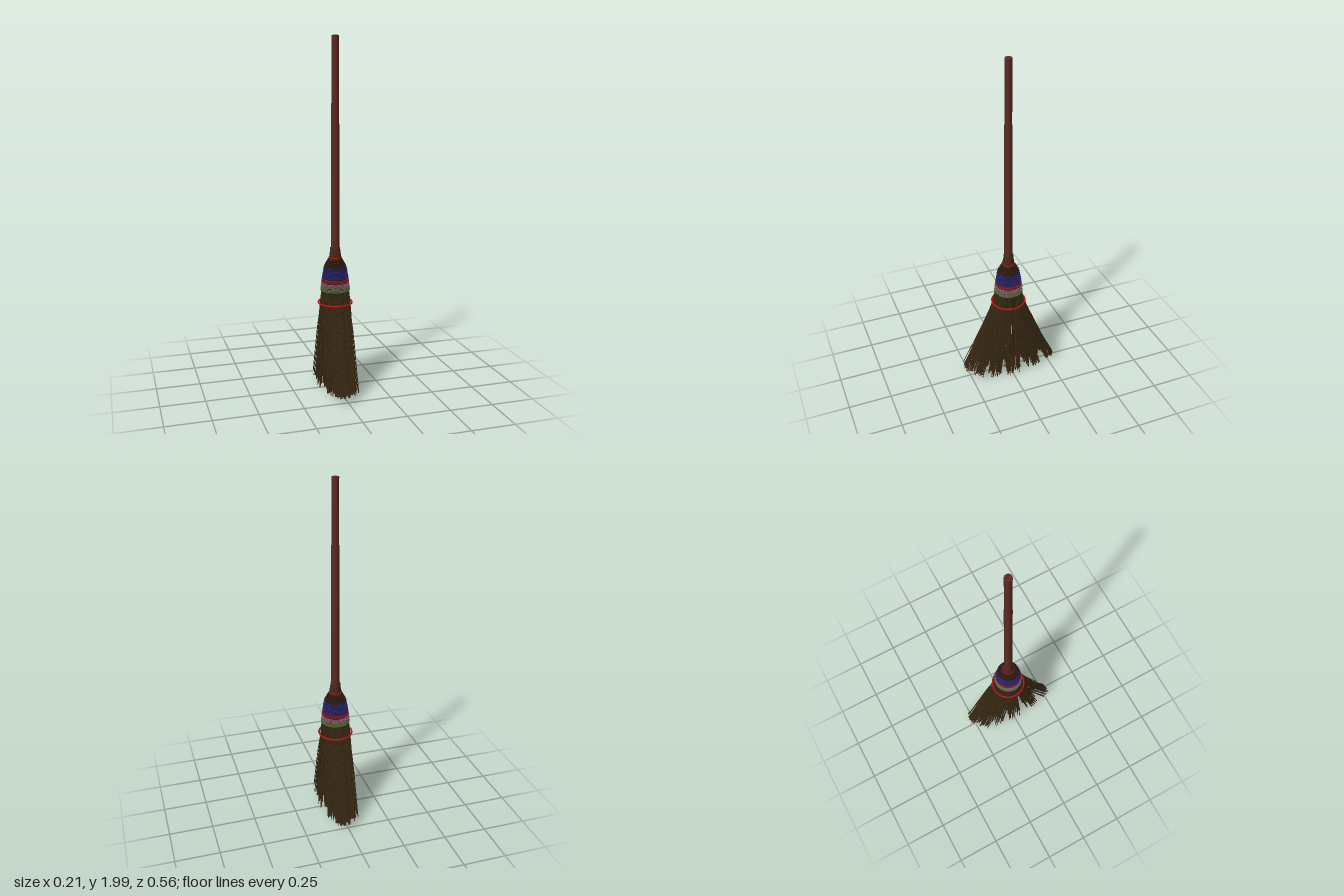
import * as THREE from 'three';
import { mergeGeometries } from 'three/addons/utils/BufferGeometryUtils.js';

const mat = (color) => new THREE.MeshStandardMaterial({ color });
const V2 = (x, y) => new THREE.Vector2(x, y);

function seeded(seed) {
  return () => {
    seed = (seed * 16807) % 2147483647;
    return seed / 2147483647;
  };
}

// Outer radius of the bound shoulder at height y
const SHOULDER = [[0.58, 0.081], [0.65, 0.073], [0.73, 0.06], [0.775, 0.036], [0.79, 0.031]];
function shoulderRadius(y) {
  for (let i = 1; i < SHOULDER.length; i++) {
    const [y0, r0] = SHOULDER[i - 1], [y1, r1] = SHOULDER[i];
    if (y <= y1) return r0 + (r1 - r0) * (y - y0) / (y1 - y0);
  }
  return 0.031;
}

// One turn of thread that weaves in and out around the straw
function threadTurn(y, phase) {
  const g = new THREE.TorusGeometry(shoulderRadius(y), 0.0036, 5, 96).rotateX(Math.PI / 2);
  const p = g.attributes.position;
  for (let i = 0; i < p.count; i++) {
    const x = p.getX(i), z = p.getZ(i);
    const k = 1 + 0.028 * Math.cos(24 * Math.atan2(z, x) + phase);
    p.setXYZ(i, x * k, p.getY(i) + y, z * k);
  }
  g.computeVertexNormals();
  return g;
}

// A straw runs down the shoulder, then fans out in clumps along z
function straw(rand) {
  const a = rand() * Math.PI * 2, r = Math.sqrt(0.1 + 0.9 * rand());
  const u = Math.cos(a) * r, t = Math.sin(a) * r;
  const clump = Math.round(t * 2.5) / 2.5;
  const skew = u * t < 0 ? 1.22 : 0.98;
  const zEnd = THREE.MathUtils.clamp(0.27 * (clump * 1.05 + (t - clump) * 0.7) * skew, -0.27, 0.27)
    + (rand() - 0.5) * 0.016;
  const xEnd = u * 0.093 + (rand() - 0.5) * 0.03;
  const yEnd = 0.012 + 0.036 * (zEnd / 0.27) ** 2 + rand() * 0.03;
  const bend = (rand() - 0.5) * 0.012;
  const path = new THREE.CatmullRomCurve3([
    new THREE.Vector3(u * 0.032, 0.77, t * 0.032),
    new THREE.Vector3(u * 0.059, 0.71, t * 0.059),
    new THREE.Vector3(u * 0.078, 0.58, t * 0.079),
    new THREE.Vector3(u * 0.083 + bend * 0.4, 0.51, t * 0.094),
    new THREE.Vector3(u * 0.083 * 0.6 + xEnd * 0.4 + bend, 0.38, t * 0.085 + zEnd * 0.22),
    new THREE.Vector3(xEnd, yEnd, zEnd),
  ]);
  return new THREE.TubeGeometry(path, 9, 0.0027, 4, false);
}

export function createModel() {
  const group = new THREE.Group();
  const add = (name, geometry, material) => {
    const mesh = new THREE.Mesh(geometry, material);
    mesh.name = name;
    group.add(mesh);
    return mesh;
  };
  const wood = mat(0x5c2a22);
  const strawMat = mat(0x3a2a14);
  strawMat.side = THREE.DoubleSide;

  // Handle: slimmer grip above a slightly thicker shaft
  add('handleGrip', new THREE.CylinderGeometry(0.02, 0.02, 0.37, 24), wood).position.y = 1.815;
  add('handleShaft', new THREE.CylinderGeometry(0.022, 0.024, 0.89, 24), wood).position.y = 1.195;

  // Collar where the straw is tied to the handle
  add('collar', new THREE.LatheGeometry([
    V2(0.034, 0.77), V2(0.033, 0.795), V2(0.029, 0.815), V2(0.028, 0.838), V2(0.022, 0.842),
  ], 24), mat(0x4a2618));

  // Solid core of packed straw under the binding
  add('strawCore', new THREE.LatheGeometry([
    V2(0, 0.5), V2(0.06, 0.5), V2(0.073, 0.58), V2(0.067, 0.65), V2(0.054, 0.73), V2(0.031, 0.775), V2(0, 0.78),
  ], 32), mat(0x2c1f10));

  // Coloured thread bands: [name, bottom, top, colour]
  const bands = [
    ['greenBand', 0.591, 0.611, 0x4a6a2c],
    ['mauveBand', 0.613, 0.638, 0x7c5468],
    ['redBand', 0.641, 0.66, 0x7a1a1e],
    ['blueBand', 0.664, 0.725, 0x251f66],
    ['brownBand', 0.73, 0.772, 0x2a1a12],
    ['topRedBand', 0.778, 0.783, 0x9a1c16],
  ];
  for (const [name, y0, y1, color] of bands) {
    const turns = Math.max(1, Math.round((y1 - y0) / 0.0065));
    const rings = [];
    for (let i = 0; i < turns; i++) {
      rings.push(threadTurn(y0 + (y1 - y0) * (i + 0.5) / turns, i * Math.PI));
    }
    add(name, mergeGeometries(rings), mat(color));
  }

  // Straw: half is generated, the other half is turned 180 degrees
  const rand = seeded(4711);
  const half = [];
  for (let i = 0; i < 300; i++) half.push(straw(rand));
  const straws = mergeGeometries(half);
  add('strawBundle', straws, strawMat);
  add('strawBundleOpposite', straws.clone().rotateY(Math.PI), strawMat);

  // Loose red cord around the straw
  const cord = add('redCord', new THREE.TorusGeometry(0.097, 0.005, 8, 40).rotateX(Math.PI / 2), mat(0xc01018));
  cord.position.y = 0.52;
  cord.scale.x = 0.98;

  return group;
}
